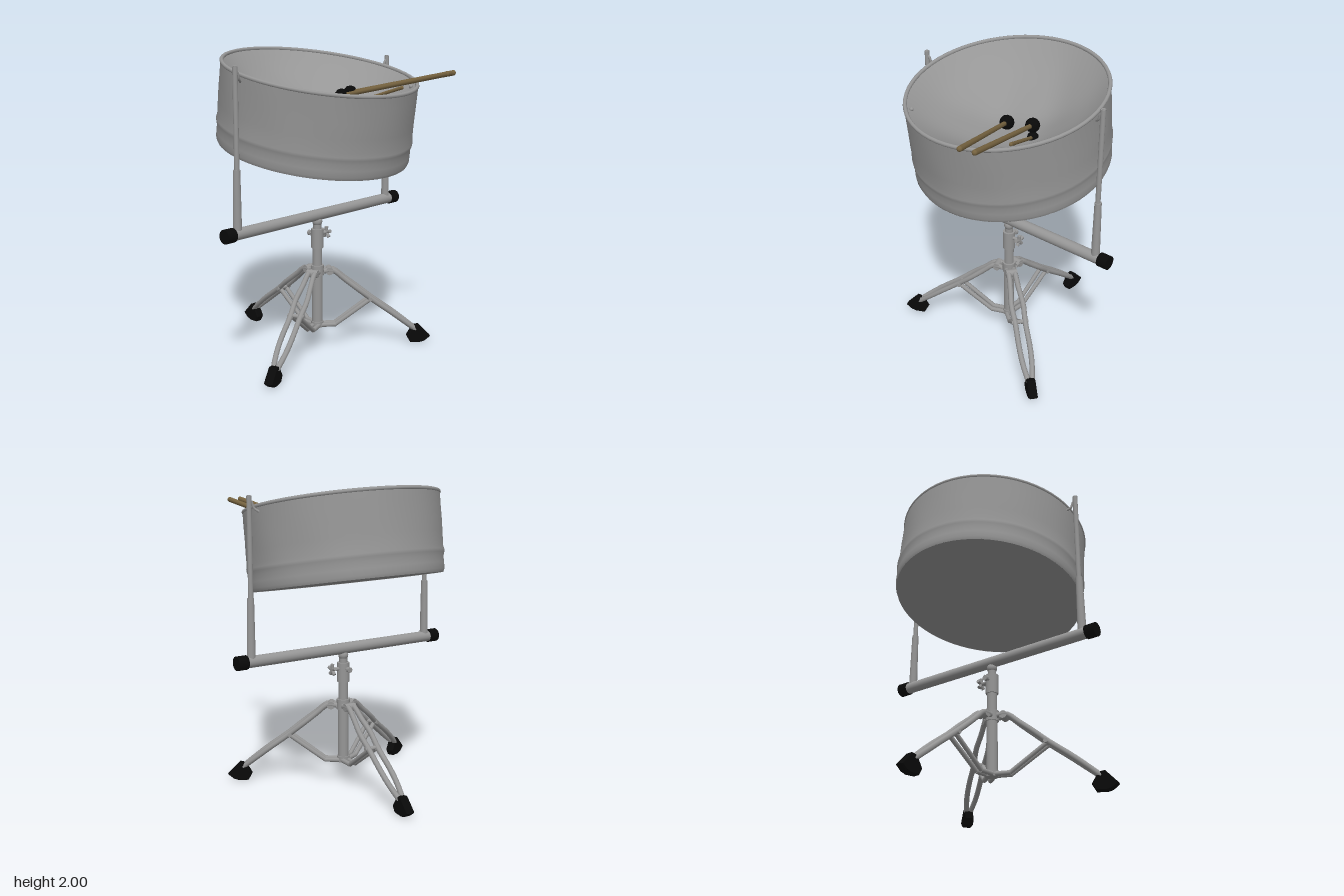
import * as THREE from 'three';
import { mergeVertices } from 'three/addons/utils/BufferGeometryUtils.js';

const V = (x, y, z) => new THREE.Vector3(x, y, z);

export function createModel() {
  const root = new THREE.Group();
  const steel = new THREE.MeshStandardMaterial({ color: 0x969696 });
  steel.name = 'steel';
  steel.side = THREE.DoubleSide;
  const rubber = new THREE.MeshStandardMaterial({ color: 0x090909 });
  rubber.name = 'black rubber';
  const wood = new THREE.MeshStandardMaterial({ color: 0x75623f });
  wood.name = 'wood';

  const add = (parent, name, geo, mat) => {
    const m = new THREE.Mesh(geo, mat);
    m.name = name;
    parent.add(m);
    return m;
  };
  // Round bar from a to b
  const rod = (parent, name, a, b, ra, rb, mat, sides = 14) => {
    const m = add(parent, name, new THREE.CylinderGeometry(rb, ra, a.distanceTo(b), sides), mat);
    m.position.copy(a).add(b).multiplyScalar(0.5);
    m.quaternion.setFromUnitVectors(V(0, 1, 0), b.clone().sub(a).normalize());
    return m;
  };
  const tube = (parent, name, pts, r, mat) =>
    add(parent, name, new THREE.TubeGeometry(new THREE.CatmullRomCurve3(pts), 24, r, 8), mat);
  // Lathe with gentle hammered dents, welded so the shading stays smooth
  const lathe = (pts, dent) => {
    let g = new THREE.LatheGeometry(pts.map(p => new THREE.Vector2(...p)), 64);
    g.deleteAttribute('uv');
    g.deleteAttribute('normal');
    g = mergeVertices(g, 1e-4);
    const p = g.attributes.position;
    for (let i = 0; i < p.count; i++) {
      const v = V(p.getX(i), p.getY(i), p.getZ(i));
      dent(v);
      p.setXYZ(i, v.x, v.y, v.z);
    }
    g.computeVertexNormals();
    return g;
  };

  // Tilted drum, its wall leaning slightly back from the base
  const LEAN = 0.06;
  const drum = new THREE.Group();
  drum.name = 'drum';
  drum.position.set(0, 1.367, -0.05);
  drum.rotation.x = 0.185;
  root.add(drum);
  const wall = [[0.624, 0], [0.632, 0.02], [0.632, 0.06], [0.63, 0.1], [0.637, 0.125], [0.639, 0.145],
    [0.633, 0.17], [0.633, 0.25], [0.633, 0.34], [0.633, 0.43], [0.633, 0.51]];
  add(drum, 'drumWall', lathe(wall, v => {
    const a = Math.atan2(v.z, v.x);
    const s = 1 + 0.004 * Math.sin(a * 7 + v.y * 9) * Math.sin(a * 4 - v.y * 14) * Math.sin(v.y / 0.51 * Math.PI);
    v.x *= s;
    v.z = v.z * s - LEAN * v.y;
  }), steel);
  const base = add(drum, 'drumBottom', new THREE.CircleGeometry(0.625, 64), steel);
  base.rotation.x = Math.PI / 2;
  base.position.y = 0.002;
  const top = new THREE.Group();
  top.name = 'drumTop';
  top.position.set(0, 0.508, -LEAN * 0.508);
  drum.add(top);
  const bowl = [];
  for (let i = 0; i <= 14; i++) {
    const t = 1 - i / 14;
    bowl.push([0.624 * t, -0.265 * (1 - t * t)]);
  }
  add(top, 'playingBowl', lathe(bowl, v => {
    const r = Math.hypot(v.x, v.z) / 0.624;
    v.y += 0.012 * Math.sin(v.x * 11 + v.z * 4) * Math.sin(v.z * 10 - v.x * 5 + 1) * (1 - r * r);
  }), steel);
  const rim = add(top, 'rim', new THREE.TorusGeometry(0.626, 0.013, 8, 64), steel);
  rim.rotation.x = Math.PI / 2;
  for (const s of [-1, 1]) {
    const bolt = add(top, 'rimBolt', new THREE.SphereGeometry(0.013, 10, 8), steel);
    bolt.position.set(0.395 * s, -0.02, 0.437);
  }

  // Mallets in the bowl, with a shorter one lying beneath
  for (const [tip, end, r, size] of [
    [V(0.09, 1.715, 0.12), V(0.31, 1.877, 0.78), 0.017, 0.046],
    [V(0.24, 1.72, 0.06), V(0.4, 1.877, 0.76), 0.017, 0.046],
    [V(0.255, 1.65, 0.075), V(0.352, 1.765, 0.4), 0.012, 0.036],
  ]) {
    const mallet = new THREE.Group();
    mallet.name = 'mallet';
    root.add(mallet);
    rod(mallet, 'malletStick', tip, end, r * 0.85, r, wood, 10);
    const butt = add(mallet, 'malletButt', new THREE.SphereGeometry(r, 10, 8), wood);
    butt.position.copy(end);
    const head = add(mallet, 'malletHead', new THREE.IcosahedronGeometry(size, 1), rubber);
    head.position.copy(tip);
  }

  // Cradle: crossbar, end caps, uprights and hooks
  const Z = -0.01;
  rod(root, 'crossbar', V(-0.75, 0.924, Z), V(0.75, 0.924, Z), 0.037, 0.037, steel, 20);
  for (const s of [-1, 1]) {
    rod(root, 'crossbarCap', V(0.73 * s, 0.925, Z), V(0.8 * s, 0.925, Z), 0.045, 0.045, rubber, 20);
    rod(root, 'lowerUpright', V(0.695 * s, 0.94, Z), V(0.692 * s, 1.32, Z), 0.028, 0.022, steel);
    rod(root, 'upperUpright', V(0.69 * s, 1.31, Z), V(0.689 * s, 1.935, Z), 0.016, 0.016, steel);
    rod(root, 'uprightBolt', V(0.689 * s, 1.93, Z), V(0.689 * s, 1.938, Z), 0.011, 0.011, steel, 6);
    tube(root, 'hangerHook', [V(0.685 * s, 1.91, Z), V(0.67 * s, 1.895, Z), V(0.657 * s, 1.86, -0.015),
      V(0.632 * s, 1.84, -0.03)], 0.008, steel);
  }

  // Centre column
  const column = new THREE.Group();
  column.name = 'column';
  column.position.z = Z;
  root.add(column);
  for (const [name, y0, y1, r] of [['upperTube', 0.5, 0.89, 0.027], ['middleTube', 0.5, 0.7, 0.032],
    ['lowerTube', 0.145, 0.56, 0.036], ['heightCollar', 0.7, 0.83, 0.041], ['legCollar', 0.51, 0.58, 0.044],
    ['braceCollar', 0.145, 0.185, 0.042]])
    rod(column, name, V(0, y0, 0), V(0, y1, 0), r, r, steel, 20);
  const joint = add(column, 'tiltJoint', new THREE.SphereGeometry(0.034, 16, 10), steel);
  joint.position.y = 0.88;
  // Wing screw and clamp screw
  rod(column, 'wingScrew', V(0.03, 0.79, 0), V(0.09, 0.79, 0), 0.012, 0.012, steel);
  for (let i = 0; i < 5; i++) {
    const a = i * Math.PI * 2 / 5;
    rod(column, 'wingScrewLobe', V(0.088, 0.79, 0),
      V(0.088, 0.79 + 0.038 * Math.cos(a), 0.038 * Math.sin(a)), 0.01, 0.013, steel, 8);
  }
  rod(column, 'clampScrew', V(0, 0.79, -0.03), V(0, 0.79, -0.065), 0.01, 0.01, steel);
  rod(column, 'clampScrewHead', V(0, 0.79, -0.058), V(0, 0.79, -0.078), 0.019, 0.019, steel, 8);

  // Three double-rod legs with braces and rubber feet; local +x points outward
  const foot = new THREE.Shape([[0.622, 0.045], [0.645, 0.004], [0.71, 0], [0.745, 0.01], [0.785, 0.042],
    [0.705, 0.125], [0.665, 0.118]].map(p => new THREE.Vector2(...p)));
  for (const [x, z] of [[0.047, -0.71], [-0.67, 0.265], [0.55, 0.44]]) {
    const leg = new THREE.Group();
    leg.name = 'leg';
    leg.position.z = Z;
    leg.rotation.y = Math.atan2(-z, x);
    root.add(leg);
    for (const s of [-1, 1]) {
      tube(leg, 'legRod', [V(0.04, 0.54, 0.025 * s), V(0.1, 0.545, 0.022 * s), V(0.18, 0.483, 0.028 * s),
        V(0.27, 0.412, 0.04 * s), V(0.37, 0.332, 0.034 * s), V(0.5, 0.237, 0.036 * s),
        V(0.59, 0.167, 0.03 * s), V(0.68, 0.095, 0.012 * s)], 0.018, steel);
      rod(leg, 'brace', V(0.12, 0.159, 0.02 * s), V(0.36, 0.33, 0.026 * s), 0.015, 0.015, steel, 8);
      rod(leg, 'braceLug', V(0.02, 0.159, 0.02 * s), V(0.125, 0.159, 0.02 * s), 0.016, 0.016, steel, 8);
    }
    rod(leg, 'legPivot', V(0.08, 0.54, -0.038), V(0.08, 0.54, 0.038), 0.026, 0.026, steel);
    rod(leg, 'bracePivot', V(0.355, 0.335, -0.056), V(0.355, 0.335, 0.056), 0.014, 0.014, steel);
    const pad = add(leg, 'foot', new THREE.ExtrudeGeometry(foot, {
      depth: 0.042, bevelEnabled: true, bevelThickness: 0.007, bevelSize: 0.006, bevelOffset: -0.006, bevelSegments: 1,
    }), rubber);
    pad.position.z = -0.021;
  }
  return root;
}
